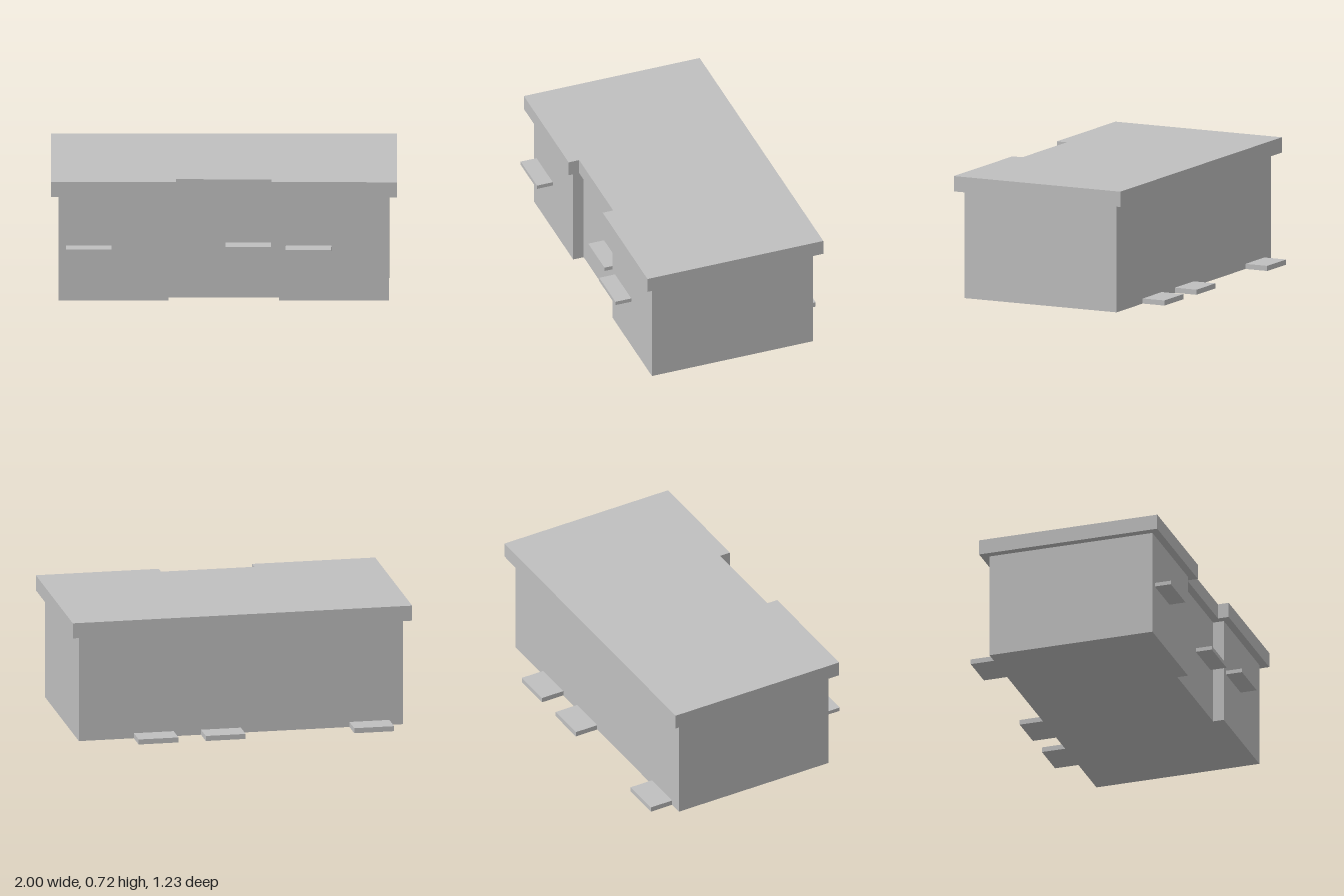
import * as THREE from 'three';

const grey = new THREE.MeshStandardMaterial({ color: 0xbfbfbf });
grey.name = 'plain grey';

// Upright slab whose front has a shallow recess in the middle
function recessedSlab(name, halfWidth, back, front, recessHalf, recessZ, y0, y1) {
  const outline = [
    [-halfWidth, front], [-recessHalf, front], [-recessHalf, recessZ],
    [recessHalf, recessZ], [recessHalf, front], [halfWidth, front],
    [halfWidth, back], [-halfWidth, back],
  ];
  const shape = new THREE.Shape(outline.map(([x, z]) => new THREE.Vector2(x, -z)));
  const geometry = new THREE.ExtrudeGeometry(shape, { depth: y1 - y0, bevelEnabled: false });
  geometry.rotateX(-Math.PI / 2).translate(0, y0, 0);
  const mesh = new THREE.Mesh(geometry, grey);
  mesh.name = name;
  return mesh;
}

// Box given by its limits on each axis
function block(name, x0, x1, y0, y1, z0, z1) {
  const geometry = new THREE.BoxGeometry(x1 - x0, y1 - y0, z1 - z0);
  geometry.translate((x0 + x1) / 2, (y0 + y1) / 2, (z0 + z1) / 2);
  const mesh = new THREE.Mesh(geometry, grey);
  mesh.name = name;
  return mesh;
}

export function createModel() {
  const model = new THREE.Group();
  model.name = 'building';

  // Walls and overhanging flat roof
  model.add(recessedSlab('walls', 0.955, -0.475, 0.52, 0.319, 0.455, 0, 0.63));
  model.add(recessedSlab('roof', 1, -0.523, 0.565, 0.275, 0.5, 0.63, 0.72));

  // Front canopies, the middle one set back with the recess
  [[-0.912, 0.52, 'rightCanopy'], [0.01, 0.455, 'middleCanopy'], [0.358, 0.52, 'leftCanopy']]
    .forEach(([x, wall, name]) => model.add(block(name, x, x + 0.263, 0.307, 0.33, wall, wall + 0.098)));

  // Low steps along the back
  [-0.875, 0, 0.396].forEach((x, i) =>
    model.add(block(`backStep${i + 1}`, x, x + 0.235, 0, 0.03, -0.617, -0.475)));

  return model;
}
